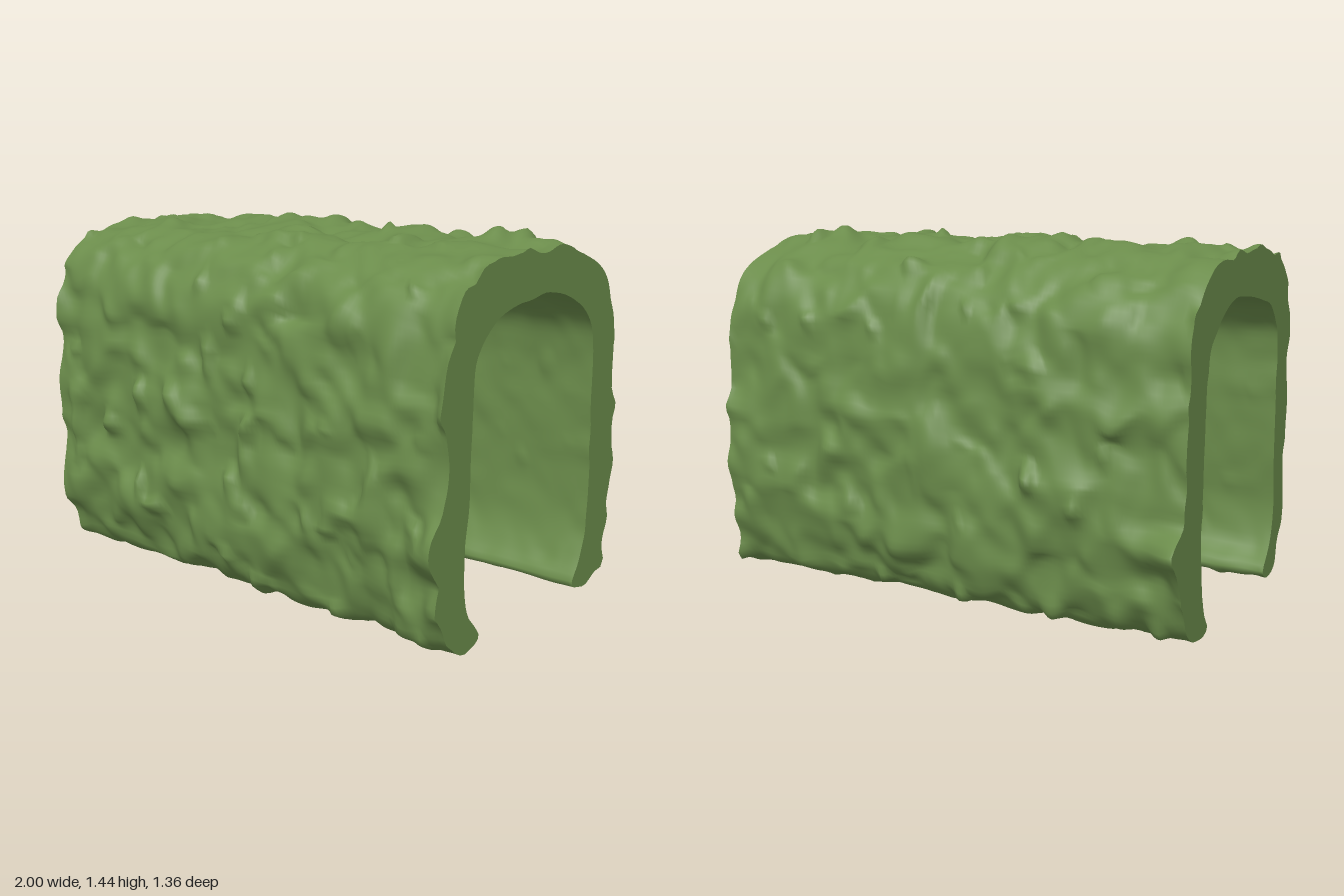
import * as THREE from 'three';

const moss = new THREE.MeshStandardMaterial({ color: 0x6b8c4b });
moss.name = 'mossGreen';
moss.side = THREE.DoubleSide;

// Seeded smooth value noise, range -1..1
function hash(x, y, z, s) {
  let h = Math.imul(x, 374761393) ^ Math.imul(y, 668265263) ^ Math.imul(z, 873357521) ^ Math.imul(s, 97531);
  h = Math.imul(h ^ (h >>> 13), 1274126177);
  h = Math.imul(h ^ (h >>> 16), 2246822519);
  return ((h ^ (h >>> 15)) >>> 0) / 2147483648 - 1;
}
function noise(x, y, z, s) {
  const ix = Math.floor(x), iy = Math.floor(y), iz = Math.floor(z);
  const f = (t) => t * t * (3 - 2 * t), m = THREE.MathUtils.lerp;
  const u = f(x - ix), v = f(y - iy), w = f(z - iz);
  const row = (j, k) => m(hash(ix, iy + j, iz + k, s), hash(ix + 1, iy + j, iz + k, s), u);
  return m(m(row(0, 0), row(1, 0), v), m(row(0, 1), row(1, 1), v), w);
}

// Arch outline as [z, y]: over the outside front to back, then back along the inside
const outer = [[0.45, 0.03], [0.53, 0.08], [0.58, 0.2], [0.595, 0.4], [0.59, 0.6], [0.585, 0.8], [0.58, 1.0],
  [0.555, 1.18], [0.485, 1.295], [0.37, 1.365], [0.2, 1.395], [0, 1.405], [-0.15, 1.4], [-0.3, 1.365], [-0.435, 1.285],
  [-0.52, 1.17], [-0.55, 1.0], [-0.56, 0.8], [-0.57, 0.6], [-0.575, 0.4], [-0.555, 0.2], [-0.5, 0.08], [-0.41, 0.03]];
const inner = [[-0.3, 0.05], [-0.345, 0.13], [-0.385, 0.25], [-0.395, 0.5], [-0.39, 0.75], [-0.385, 0.95], [-0.355, 1.08],
  [-0.26, 1.17], [-0.1, 1.235], [0.05, 1.23], [0.2, 1.21], [0.33, 1.16], [0.42, 1.05], [0.435, 0.8], [0.45, 0.5],
  [0.465, 0.3], [0.435, 0.16], [0.36, 0.06]];

// Broad clumps and hollows on the outside: x, y, z, height, radius
const clumps = [
  [1, 0.43, 0.6, 0.1, 0.09], [0.95, 0.18, 0.59, 0.03, 0.1], [-0.25, 0.73, 0.59, 0.035, 0.1], [-0.6, 0.28, 0.59, 0.035, 0.1],
  [0.25, 0.28, 0.59, 0.035, 0.1], [0.5, 0.73, 0.59, 0.035, 0.12], [0.3, 1.17, 0.55, -0.035, 0.07],
  [-1, 0.39, -0.58, 0.09, 0.08], [-0.6, 0.6, -0.57, 0.035, 0.12], [-0.1, 0.6, -0.57, -0.02, 0.12], [0.05, 0.6, -0.57, 0.03, 0.1],
  [0.4, 0.8, -0.56, 0.03, 0.12], [-0.3, 1.41, -0.1, 0.04, 0.08], [0.15, 1.41, 0, -0.025, 0.15],
  [0.4, 1.41, -0.1, 0.04, 0.08], [0.73, 1.41, -0.1, 0.045, 0.07],
];
const clumpHeight = (x, y, z) => clumps.reduce((sum, [cx, cy, cz, h, r]) =>
  sum + h * Math.exp(-((x - cx) ** 2 + (y - cy) ** 2 + (z - cz) ** 2) / (r * r)), 0);

const AROUND = 260, ALONG = 130;

// Rings of the rough shell; the outside is lumpy, the inside gently uneven
function makeRings() {
  // x of the curve carries the roughness
  const toPoint = (rough) => ([z, y]) => new THREE.Vector3(rough, y, z);
  const curve = new THREE.CatmullRomCurve3([...outer.map(toPoint(0.1)), ...inner.map(toPoint(0.025))], true);
  const base = curve.getSpacedPoints(AROUND).slice(0, AROUND);
  const rings = [];
  for (let i = 0; i <= ALONG; i++) {
    const x = -1 + (2 * i) / ALONG;
    const atEnd = i === 0 || i === ALONG;
    rings.push(base.map((p, j) => {
      const a = base[(j + AROUND - 1) % AROUND], b = base[(j + 1) % AROUND];
      const ty = b.y - a.y, tz = b.z - a.z, len = Math.hypot(ty, tz);
      const ny = -tz / len, nz = ty / len;
      // Warped coordinates give the swirled clumps
      const wx = x + 0.05 * noise(x * 6, p.y * 6, p.z * 6, 5);
      const wy = p.y + 0.05 * noise(x * 6, p.y * 6, p.z * 6, 6);
      const big = noise(wx * 6.5, wy * 7, p.z * 7, 1);
      const mid = noise(wx * 12, wy * 12, p.z * 12, 2);
      const spike = Math.max(0, noise(x * 10, p.y * 10, p.z * 10, 4) - 0.5);
      const rough = THREE.MathUtils.clamp(p.x / 0.1, 0.25, 1) * (p.y < 0.08 ? 0.7 : 1);
      const clump = p.x > 0.08 ? clumpHeight(x, p.y, p.z) : 0;
      const d = rough * (0.022 * big + 0.02 * mid + 0.08 * spike) + clump;
      const slide = rough * 0.022 * noise(x * 11, p.y * 11, p.z * 11, 7);
      const dx = atEnd ? 0 : rough * 0.012 * noise(x * 9, p.y * 9, p.z * 9, 8);
      return new THREE.Vector3(
        THREE.MathUtils.clamp(x + dx, -1, 1),
        Math.max(0, p.y + ny * d + (ty / len) * slide),
        p.z + nz * d + (tz / len) * slide);
    }));
  }
  return rings;
}

function makeGeometry(points, index) {
  const g = new THREE.BufferGeometry().setFromPoints(points);
  g.setIndex(index);
  g.computeVertexNormals();
  return g;
}

function shellGeometry(rings) {
  const index = [];
  for (let i = 0; i < ALONG; i++) {
    for (let j = 0; j < AROUND; j++) {
      const k = (j + 1) % AROUND;
      const a = i * AROUND + j, b = a + AROUND, c = i * AROUND + k, d = c + AROUND;
      index.push(a, b, c, b, d, c);
    }
  }
  return makeGeometry(rings.flat(), index);
}

// Flat cut face closing one end, facing along sign * x
function capGeometry(ring, sign) {
  const flat = ring.map((p) => new THREE.Vector2(p.y, p.z));
  const index = [];
  for (const [a, b, c] of THREE.ShapeUtils.triangulateShape(flat, [])) {
    const area = THREE.ShapeUtils.area([flat[a], flat[b], flat[c]]);
    if (area * sign > 0) index.push(a, b, c);
    else index.push(a, c, b);
  }
  return makeGeometry(ring, index);
}

// Loose strand of foliage, an uneven squashed tube
function strand(name, points, radius, squash) {
  const curve = new THREE.CatmullRomCurve3(points.map((p) => new THREE.Vector3(...p)));
  const g = new THREE.TubeGeometry(curve, 24, radius, 8);
  const pos = g.attributes.position;
  const v = new THREE.Vector3();
  for (let i = 0; i < pos.count; i++) {
    const c = curve.getPointAt(Math.floor(i / 9) / 24);
    v.fromBufferAttribute(pos, i).sub(c);
    const s = 1 + 0.4 * noise(c.x * 14, c.y * 14, c.z * 14, 9);
    pos.setXYZ(i, c.x + v.x * s, c.y + v.y * s * squash, c.z + v.z * s);
  }
  g.computeVertexNormals();
  const mesh = new THREE.Mesh(g, moss);
  mesh.name = name;
  return mesh;
}

export function createModel() {
  const model = new THREE.Group();
  model.name = 'hedgeTunnel';
  const rings = makeRings();
  const add = (name, geometry) => {
    const mesh = new THREE.Mesh(geometry, moss);
    mesh.name = name;
    model.add(mesh);
  };
  add('archShell', shellGeometry(rings));
  add('leftEnd', capGeometry(rings[ALONG], 1));
  add('rightEnd', capGeometry(rings[0], -1));

  // Strands hanging under the roof and curling at the foot of the front wall
  model.add(strand('roofStrand', [[0.85, 1.21, 0.32], [0.84, 1.14, 0.26], [0.8, 1.13, 0.14], [0.72, 1.14, 0.04], [0.62, 1.23, 0.06]], 0.045, 0.6));
  model.add(strand('roofBranch', [[0.82, 1.14, 0.16], [0.76, 1.18, 0.17], [0.68, 1.23, 0.2]], 0.035, 0.8));
  model.add(strand('footStrand', [[0.05, 0.08, 0.41], [0.03, 0.16, 0.385], [0.0, 0.25, 0.395], [-0.03, 0.26, 0.47]], 0.038, 1));
  model.add(strand('wallStrand', [[0.3, 0.99, -0.4], [0.3, 0.98, -0.34], [0.28, 0.99, -0.29]], 0.014, 1));
  return model;
}
